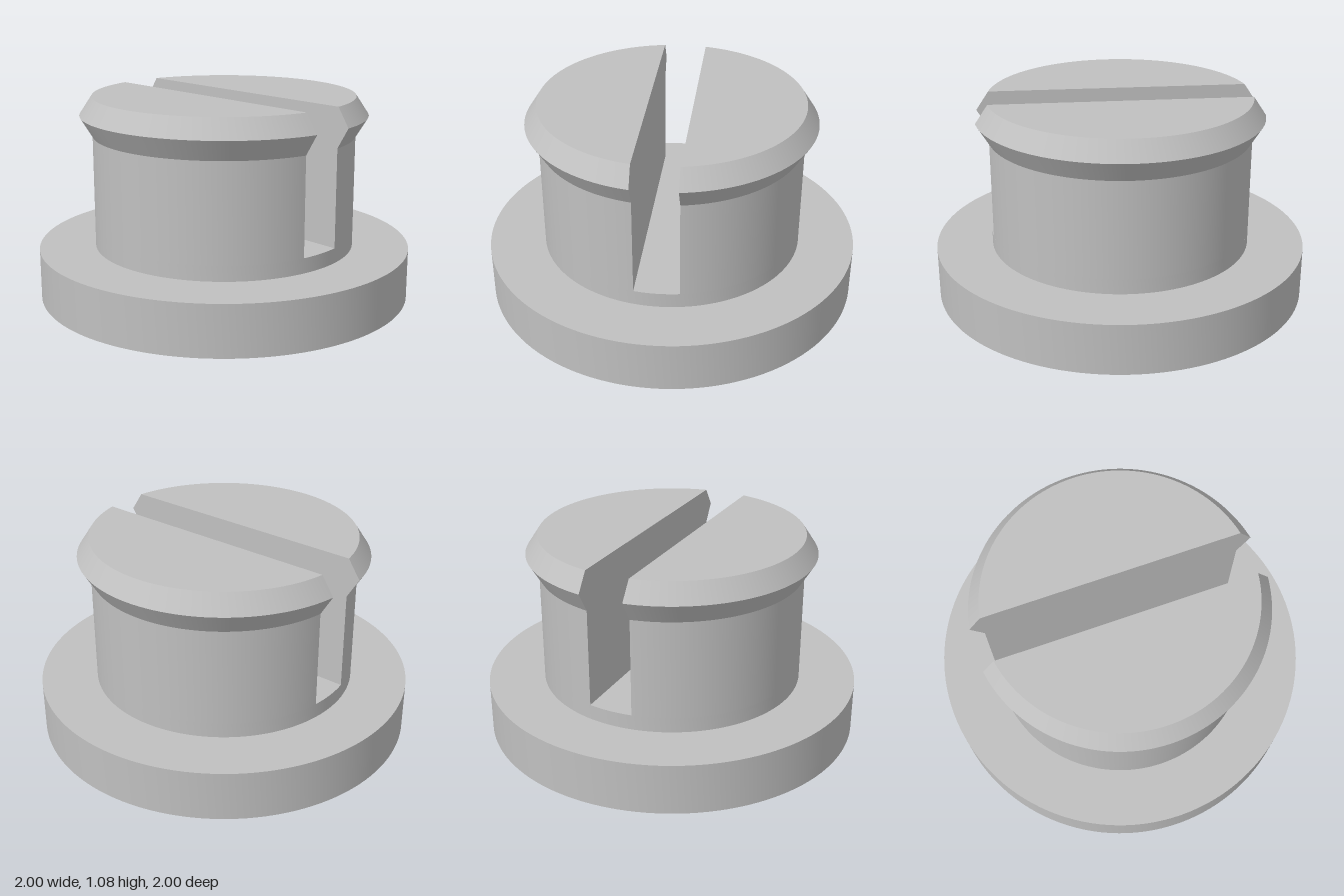
import * as THREE from 'three';
import { toCreasedNormals } from 'three/addons/utils/BufferGeometryUtils.js';

const SEGMENTS = 96;
const SLOT_HALF_WIDTH = 0.117;
const SLOT_ANGLE = -0.0464;

// Half of the slotted stud: circular segments stacked along a [radius, height] profile
function prongGeometry(profile) {
  const positions = [];
  const quad = (a, b, c, d) => positions.push(...a, ...b, ...c, ...a, ...c, ...d);
  const rings = profile.map(([r, y]) => {
    const start = Math.asin(SLOT_HALF_WIDTH / r);
    return Array.from({ length: SEGMENTS + 1 }, (_, j) => {
      const a = start + (Math.PI - 2 * start) * j / SEGMENTS;
      return [r * Math.cos(a), y, r * Math.sin(a)];
    });
  });
  for (let i = 0; i < rings.length - 1; i++) {
    const low = rings[i], high = rings[i + 1];
    // Curved outside
    for (let j = 0; j < SEGMENTS; j++) quad(low[j], high[j], high[j + 1], low[j + 1]);
    // Flat slot wall
    quad(low[0], low[SEGMENTS], high[SEGMENTS], high[0]);
  }
  // Flat top
  const top = rings[rings.length - 1];
  for (let j = 1; j < SEGMENTS; j++) positions.push(...top[0], ...top[j + 1], ...top[j]);

  const geometry = new THREE.BufferGeometry();
  geometry.setAttribute('position', new THREE.Float32BufferAttribute(positions, 3));
  return toCreasedNormals(geometry, 0.4);
}

export function createModel() {
  const model = new THREE.Group();
  model.name = 'slottedSnapPlug';
  const grey = new THREE.MeshStandardMaterial({ color: 0xc0c0c0 });
  grey.name = 'plainGrey';

  // Wide flange with the short solid foot of the stud, up to the slot floor
  const outline = [[0, 0], [1, 0], [1, 0.27], [0.7, 0.27], [0.7, 0.35], [0, 0.35]]
    .map(([r, y]) => new THREE.Vector2(r, y));
  const flange = new THREE.Mesh(
    toCreasedNormals(new THREE.LatheGeometry(outline, 128), 0.4), grey);
  flange.name = 'flange';
  model.add(flange);

  // Two prongs with a snap lip, either side of the slot
  const prong = prongGeometry([[0.7, 0.35], [0.7, 0.87], [0.766, 0.98], [0.7, 1.08]]);
  ['frontProng', 'backProng'].forEach((name, i) => {
    const mesh = new THREE.Mesh(prong, grey);
    mesh.name = name;
    mesh.rotation.y = SLOT_ANGLE + i * Math.PI;
    model.add(mesh);
  });
  return model;
}
